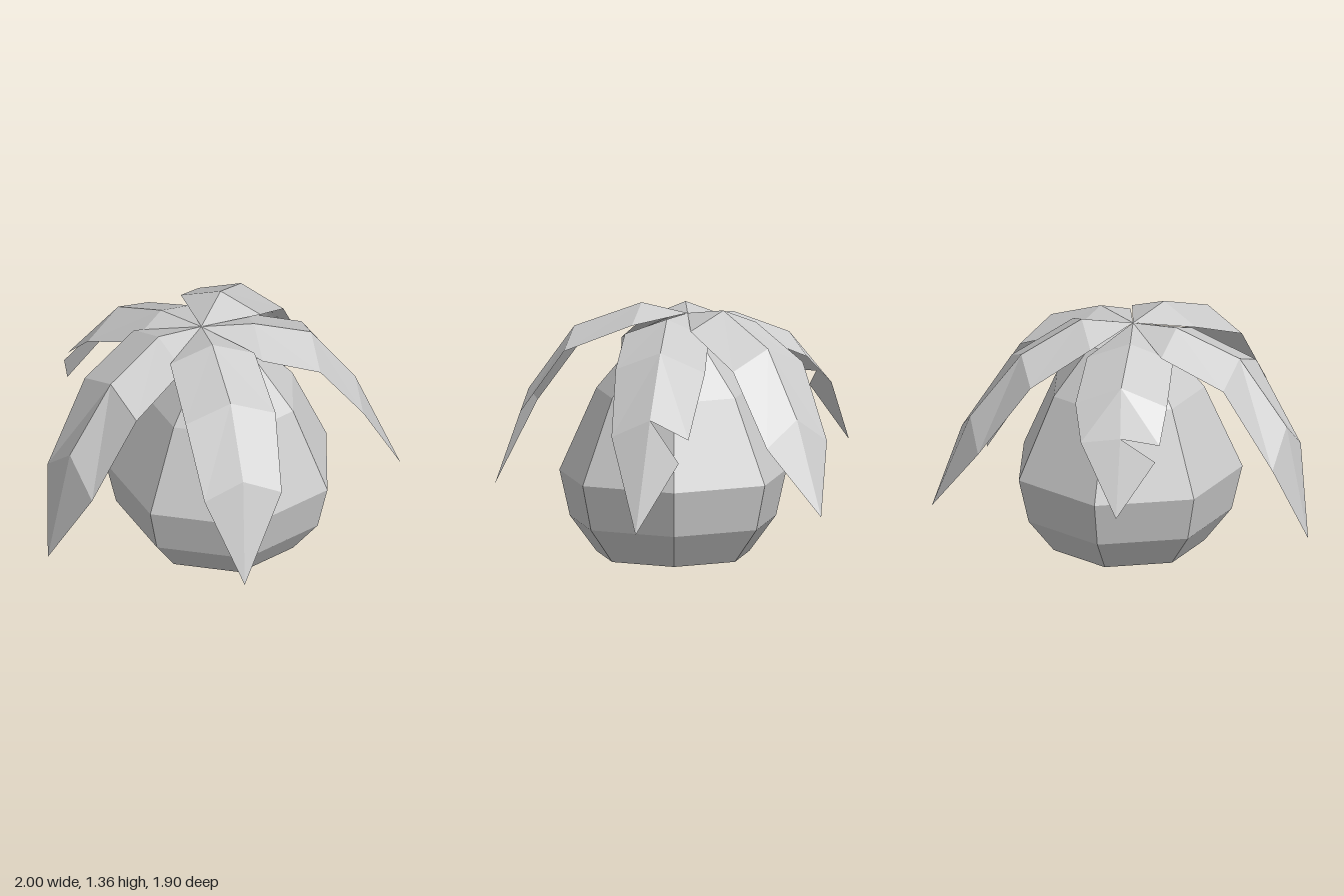
import * as THREE from 'three';

const bodyMaterial = new THREE.MeshStandardMaterial({ color: 0xcccccc, flatShading: true });
const leafMaterial = new THREE.MeshStandardMaterial({ color: 0xcccccc, flatShading: true, side: THREE.DoubleSide });

const CROWN_TOP = new THREE.Vector3(0.01, 1.31, -0.01);
const HALF_WIDTHS = [0.235, 0.25, 0.215];

const vec = (p) => new THREE.Vector3(...p);

// Folded leaf: a midrib from the crown outwards, with both edges set square to
// the leaf's heading and hung below the midrib; "fold" is the drop near the tip.
// "lip" is the far side of a tear in one edge.
function makeLeaf(name, midrib, tipPoint, fold, lip) {
  const tip = vec(tipPoint);
  const ridge = midrib.map(vec);
  const across = new THREE.Vector3(-tip.z, 0, tip.x).normalize();
  const drops = [0.09, 0.1, fold];
  const positions = [];
  const tri = (...corners) => corners.forEach((p) => positions.push(p.x, p.y, p.z));

  for (const side of [-1, 1]) {
    const edge = ridge.map((p, i) => {
      const q = p.clone().addScaledVector(across, side * HALF_WIDTHS[i]);
      q.y -= drops[i];
      return q;
    });
    // Keep the upper face outwards on both halves
    const add = (a, b, c) => (side > 0 ? tri(a, b, c) : tri(a, c, b));

    add(CROWN_TOP, edge[0], ridge[0]);
    for (let i = 0; i < 2; i++) {
      add(ridge[i], edge[i], edge[i + 1]);
      add(ridge[i], edge[i + 1], ridge[i + 1]);
    }
    add(ridge[2], side < 0 && lip ? vec(lip) : edge[2], tip);
  }

  const geometry = new THREE.BufferGeometry();
  geometry.setAttribute('position', new THREE.Float32BufferAttribute(positions, 3));
  geometry.computeVertexNormals();
  const leaf = new THREE.Mesh(geometry, leafMaterial);
  leaf.name = name;
  return leaf;
}

export function createModel() {
  const model = new THREE.Group();
  model.name = 'leafCrownedFruit';

  // Seven-sided body with a flat base and top, one side facing the front
  const profile = [[0, 0], [0.426, 0], [0.574, 0.19], [0.632, 0.44], [0.426, 0.9], [0.21, 1.16], [0, 1.16]]
    .map(([r, y]) => new THREE.Vector2(r, y));
  const body = new THREE.Mesh(new THREE.LatheGeometry(profile, 7, Math.PI / 7), bodyMaterial);
  body.name = 'body';
  body.position.set(0.076, 0, 0.086);
  model.add(body);

  // Crown of five drooping leaves, two of them torn
  const crown = new THREE.Group();
  crown.name = 'leafCrown';
  crown.add(
    makeLeaf('rightLeaf',
      [[-0.25, 1.33, -0.06], [-0.6, 1.18, -0.04], [-0.87, 0.82, -0.06]], [-1, 0.19, -0.09], 0.18),
    makeLeaf('backLeaf',
      [[-0.05, 1.3, -0.28], [-0.09, 1.17, -0.6], [-0.13, 0.94, -0.76]], [-0.16, 0.55, -0.95], 0.03,
      [-0.33, 0.83, -0.77]),
    makeLeaf('backLeftLeaf',
      [[0.26, 1.36, -0.15], [0.55, 1.19, -0.33], [0.81, 0.84, -0.43]], [1, 0.33, -0.52], 0.14),
    makeLeaf('frontLeftLeaf',
      [[0.24, 1.32, 0.16], [0.55, 1.19, 0.27], [0.77, 0.86, 0.38]], [0.98, 0.27, 0.51], 0.1,
      [0.9, 0.64, 0.25]),
    makeLeaf('frontRightLeaf',
      [[-0.1, 1.36, 0.22], [-0.25, 1.22, 0.56], [-0.35, 0.87, 0.79]], [-0.47, 0.33, 0.95], 0.1),
  );
  model.add(crown);

  return model;
}
